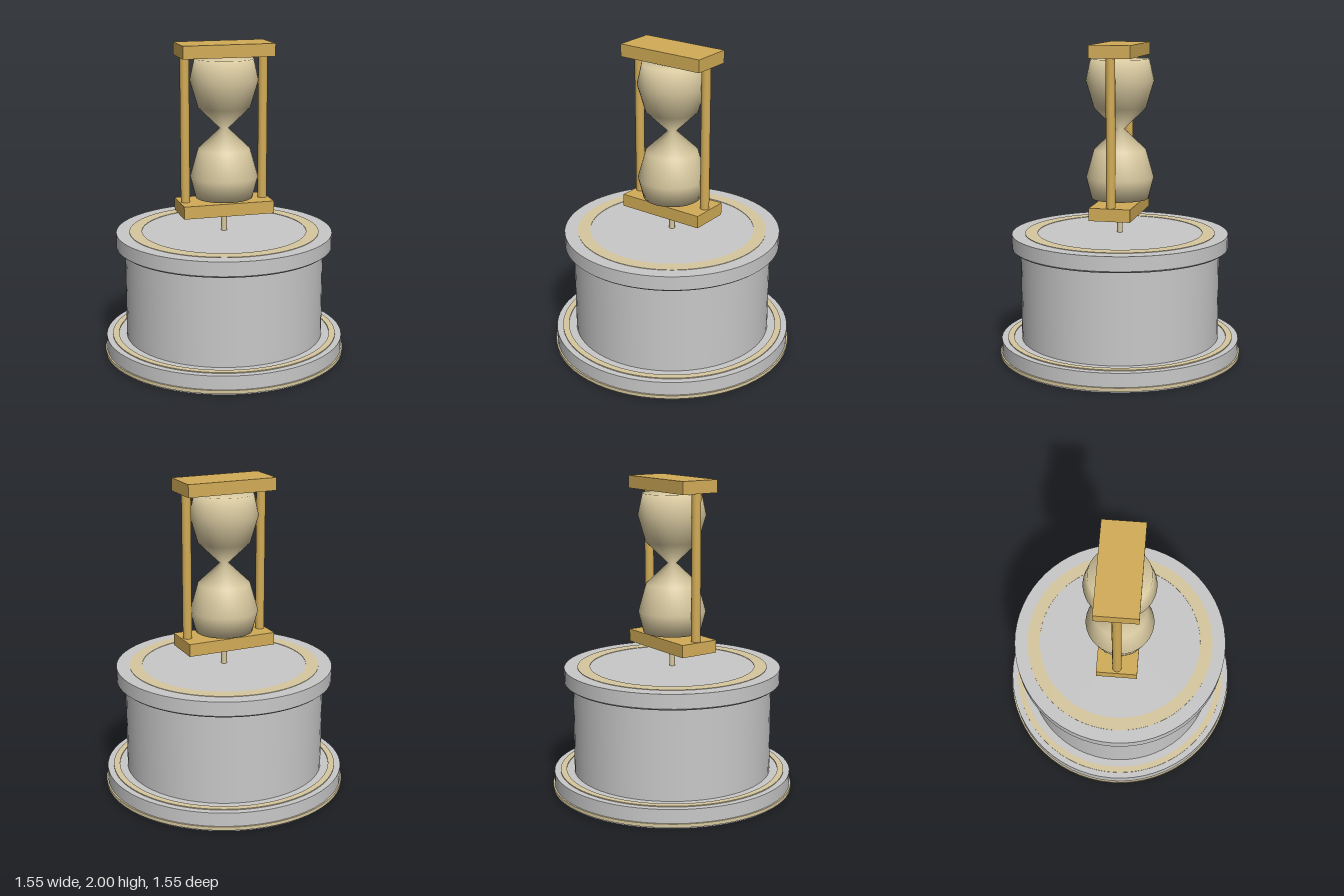
import * as THREE from 'three';

const mat = (name, color, side = THREE.FrontSide) => {
  const m = new THREE.MeshStandardMaterial({ color, side });
  m.name = name;
  return m;
};

export function createModel() {
  const model = new THREE.Group();
  model.name = 'hourglassTrophy';
  const silver = mat('silver', 0xc8c8c8);
  const gold = mat('gold', 0xd2ac57);
  const sand = mat('sand', 0xd6c79e);

  const add = (name, geometry, material, x = 0, y = 0, z = 0) => {
    const mesh = new THREE.Mesh(geometry, material);
    mesh.name = name;
    mesh.position.set(x, y, z);
    model.add(mesh);
    return mesh;
  };
  // Upright cylinder between two heights
  const drum = (name, material, y0, y1, bottom, top = bottom, x = 0, sides = 64) =>
    add(name, new THREE.CylinderGeometry(top, bottom, y1 - y0, sides), material, x, (y0 + y1) / 2);
  // Thin flat inlay ring standing on a surface
  const inlay = (name, inner, outer, y, height) => {
    const shape = new THREE.Shape().absarc(0, 0, outer, 0, Math.PI * 2, false);
    shape.holes.push(new THREE.Path().absarc(0, 0, inner, 0, Math.PI * 2, true));
    const geo = new THREE.ExtrudeGeometry(shape, { depth: height, bevelEnabled: false, curveSegments: 64 });
    geo.rotateX(-Math.PI / 2);
    add(name, geo, sand, 0, y, 0);
  };

  // Round pedestal
  drum('plinth', silver, 0, 0.12, 0.765);
  drum('plinthTrim', sand, 0.01, 0.032, 0.775);
  inlay('plinthInlay', 0.685, 0.725, 0.118, 0.008);
  drum('column', silver, 0.12, 0.705, 0.635);
  drum('capBevel', silver, 0.7, 0.712, 0.675, 0.69);
  drum('cap', silver, 0.712, 0.802, 0.69);
  inlay('capInlay', 0.525, 0.605, 0.799, 0.006);

  // Stem and frame
  drum('stem', sand, 0.8, 0.93, 0.018, 0.018, 0, 16);
  const plate = new THREE.BoxGeometry(0.585, 0.08, 0.26);
  add('lowerPlate', plate, gold, 0, 0.965, 0);
  add('upperPlate', plate, gold, 0, 1.96, 0);
  for (const side of [-1, 1]) {
    drum(side > 0 ? 'leftPost' : 'rightPost', gold, 1, 1.925, 0.029, 0.029, side * 0.253, 20);
  }

  // Two bulbs meeting at a narrow neck
  const profile = [
    [0, 1.015], [0.182, 1.025], [0.215, 1.16], [0.165, 1.335], [0.028, 1.467],
    [0.165, 1.6], [0.215, 1.77], [0.185, 1.905], [0, 1.915],
  ].map(([r, y]) => new THREE.Vector2(r, y));
  add('glassBulbs', new THREE.LatheGeometry(profile, 40), sand);

  return model;
}
